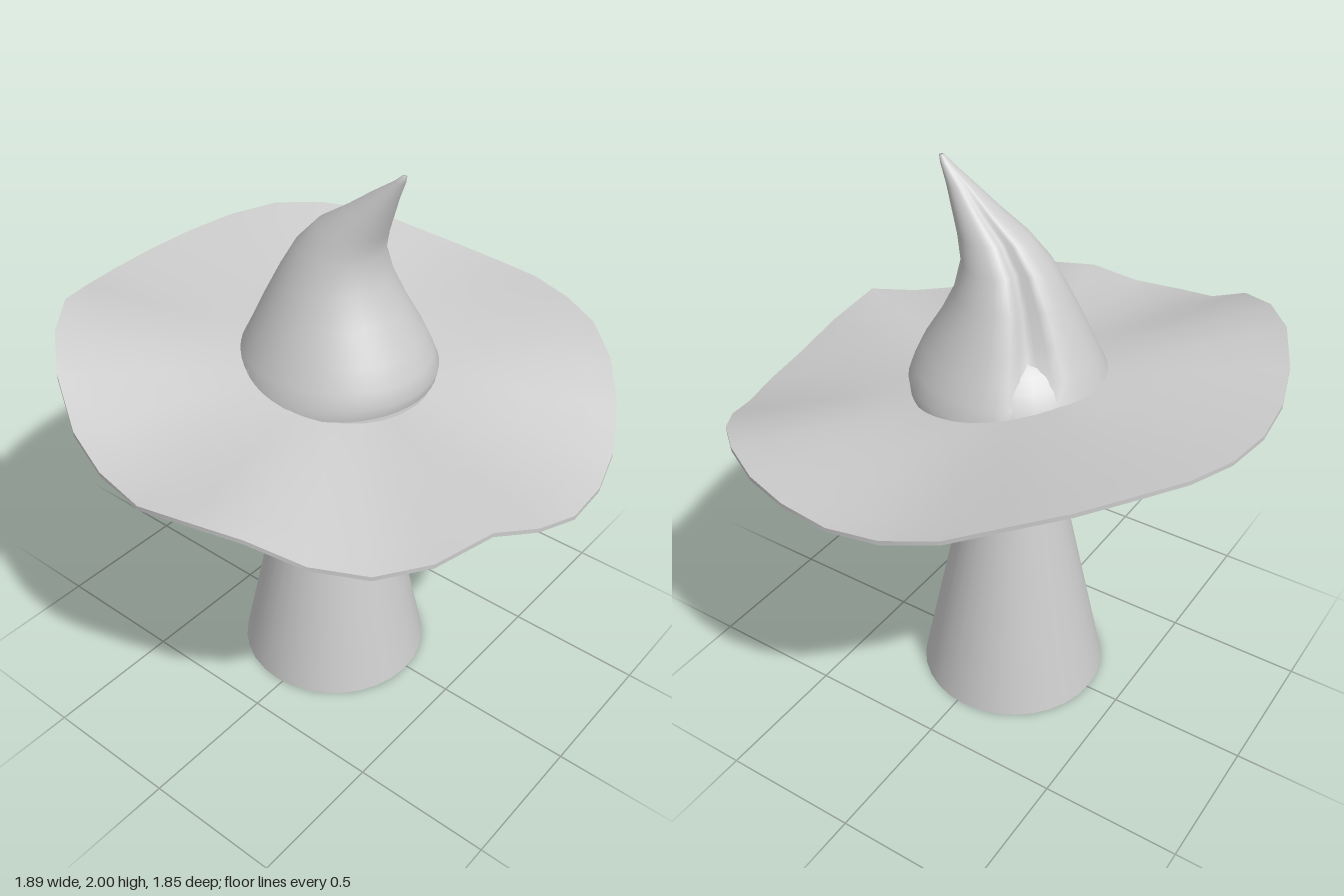
import * as THREE from 'three';
import { toCreasedNormals } from 'three/addons/utils/BufferGeometryUtils.js';

const SEG = 32;
const material = new THREE.MeshStandardMaterial({ color: 0xcccccc });
const hatMaterial = new THREE.MeshStandardMaterial({ color: 0xcccccc, side: THREE.DoubleSide });

// Skin closed rings of points; point(row, angle, index) gives [x, y, z], angle runs from +z to +x
function loft(rows, segments, point) {
  const positions = [], index = [];
  for (let r = 0; r < rows; r++) {
    for (let j = 0; j < segments; j++) positions.push(...point(r, (j / segments) * Math.PI * 2, j));
  }
  for (let r = 0; r < rows - 1; r++) {
    for (let j = 0; j < segments; j++) {
      const k = (j + 1) % segments;
      const a = r * segments + j, b = r * segments + k;
      const c = b + segments, d = a + segments;
      index.push(a, b, c, a, c, d);
    }
  }
  const geometry = new THREE.BufferGeometry();
  geometry.setAttribute('position', new THREE.Float32BufferAttribute(positions, 3));
  geometry.setIndex(index);
  geometry.computeVertexNormals();
  return geometry;
}

function addMesh(group, name, geometry, mat = material) {
  const mesh = new THREE.Mesh(geometry, mat);
  mesh.name = name;
  group.add(mesh);
  return mesh;
}

// Wavy rim heights, one per segment, starting at the front
const RIM = [
  1.05, 1.037, 1.05, 1.12, 1.19, 1.23, 1.235, 1.24,
  1.24, 1.26, 1.3, 1.36, 1.39, 1.405, 1.39, 1.37,
  1.36, 1.365, 1.39, 1.435, 1.42, 1.37, 1.27, 1.23,
  1.205, 1.23, 1.22, 1.15, 1.11, 1.125, 1.18, 1.11,
];

function brimGeometry() {
  const steps = 6, inner = 0.31, outer = 0.945, thickness = 0.015;
  // Underside runs outwards, top side runs back inwards
  const geometry = loft(steps * 2 + 2, SEG, (row, a, j) => {
    const top = row > steps;
    const t = (top ? steps * 2 + 1 - row : row) / steps;
    const radius = inner + (outer - inner) * t;
    const z = Math.cos(a) * radius * (1 - 0.02 * t);
    const base = 1.255 - 0.06 * Math.cos(a);
    const y = base + (RIM[j] - base) * Math.pow(t, 1.1) + (top ? thickness : 0);
    return [Math.sin(a) * radius, y, z];
  });
  return toCreasedNormals(geometry, 0.9);
}

// Crown sections: height, half width, front z, back z, fold depth
const CROWN = [
  [1.24, 0.335, 0.325, -0.35, 0],
  [1.28, 0.33, 0.335, -0.355, 0.01],
  [1.33, 0.31, 0.318, -0.345, 0.03],
  [1.4, 0.278, 0.285, -0.31, 0.05],
  [1.5, 0.23, 0.222, -0.262, 0.055],
  [1.6, 0.184, 0.172, -0.21, 0.05],
  [1.7, 0.142, 0.15, -0.15, 0.04],
  [1.78, 0.106, 0.172, -0.075, 0.03],
  [1.85, 0.073, 0.197, 0.03, 0.015],
  [1.92, 0.042, 0.222, 0.125, 0.005],
  [1.98, 0.018, 0.247, 0.212, 0],
  [2.0, 0.009, 0.252, 0.234, 0],
  [2.0, 0, 0.243, 0.243, 0],
];

function crownGeometry() {
  return loft(CROWN.length, 48, (row, a) => {
    const [y, halfWidth, front, back, fold] = CROWN[row];
    // Narrow crease pressed into the back of the left side
    const crease = 1 - (fold / Math.max(halfWidth, 0.01)) * Math.exp(-(((a - 2.4) / 0.22) ** 2));
    const middle = (front + back) / 2, depth = (front - back) / 2;
    return [-0.012 + Math.sin(a) * halfWidth * crease, y, middle + Math.cos(a) * depth * crease];
  });
}

export function createModel() {
  const model = new THREE.Group();
  model.name = 'hattedFigure';

  // Tapered body and round head share one axis
  const body = addMesh(model, 'body', new THREE.CylinderGeometry(0.165, 0.345, 0.865, 32));
  body.position.set(-0.015, 0.4325, -0.03);
  const head = addMesh(model, 'head', new THREE.SphereGeometry(0.342, 32, 20));
  head.position.set(-0.015, 1.17, -0.03);

  // Floppy pointed hat
  const hat = new THREE.Group();
  hat.name = 'hat';
  addMesh(hat, 'brim', brimGeometry(), hatMaterial);
  addMesh(hat, 'crown', crownGeometry(), hatMaterial);
  model.add(hat);

  return model;
}
